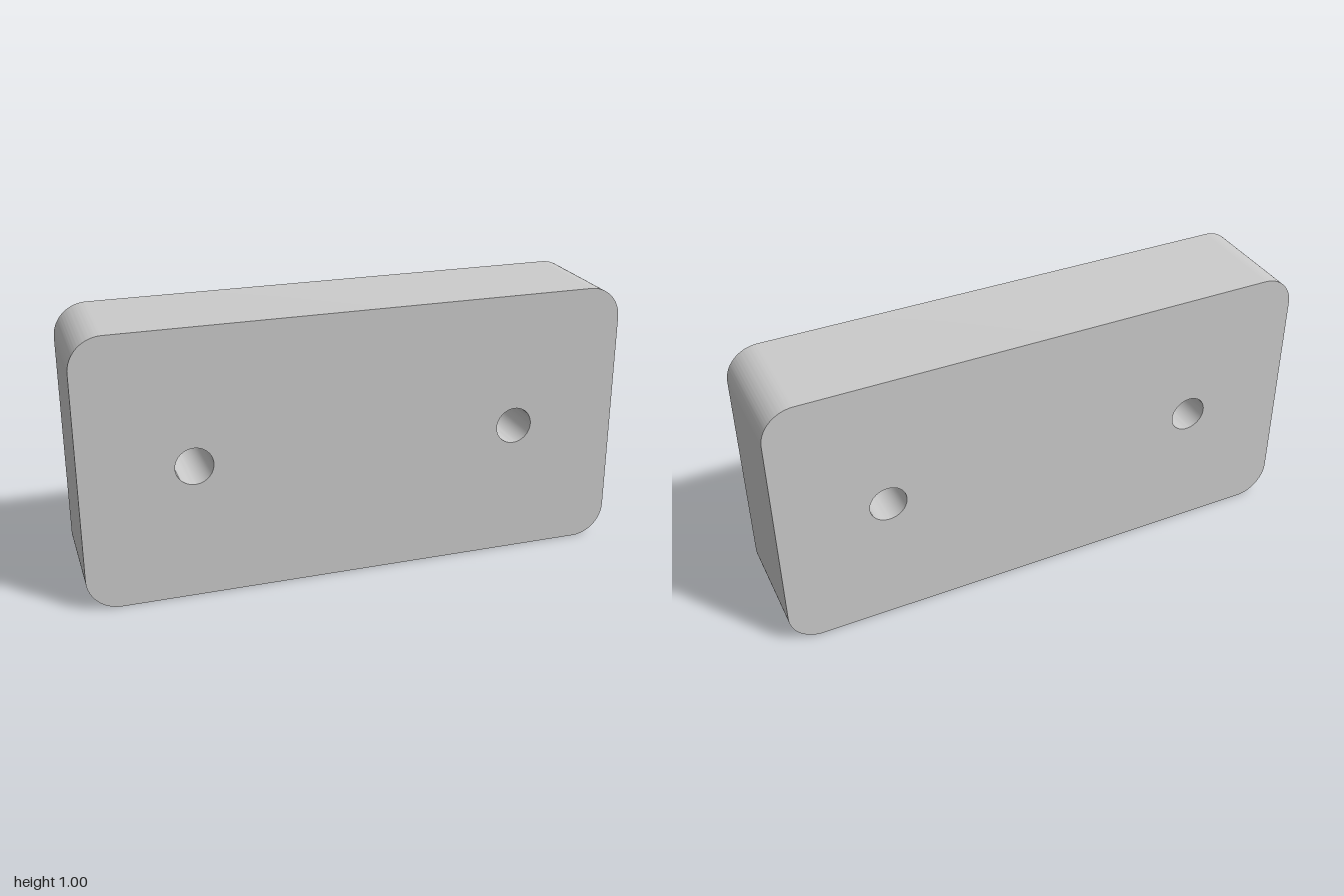
import * as THREE from 'three';
import { toCreasedNormals } from 'three/addons/utils/BufferGeometryUtils.js';

const WIDTH = 2, HEIGHT = 1, DEPTH = 0.4;
const CORNER = 0.12, HOLE_RADIUS = 0.068, HOLE_X = 0.6;

// Rounded rectangle standing on y = 0, centred on x = 0
function plateOutline() {
  const x = WIDTH / 2 - CORNER, low = CORNER, high = HEIGHT - CORNER;
  const shape = new THREE.Shape();
  const corners = [[x, low], [x, high], [-x, high], [-x, low]];
  corners.forEach(([cx, cy], i) => {
    const start = (i - 1) * Math.PI / 2;
    shape.absarc(cx, cy, CORNER, start, start + Math.PI / 2, false);
  });
  shape.closePath();
  return shape;
}

export function createModel() {
  const group = new THREE.Group();
  group.name = 'mountingBlock';

  // Two through holes, mirrored left and right
  const outline = plateOutline();
  for (const side of [-1, 1]) {
    const hole = new THREE.Path();
    hole.absarc(side * HOLE_X, HEIGHT / 2, HOLE_RADIUS, 0, Math.PI * 2, true);
    outline.holes.push(hole);
  }

  // Solid block with smooth rounded corners and sharp front and back rims
  const geometry = new THREE.ExtrudeGeometry(outline, {
    depth: DEPTH, bevelEnabled: false, curveSegments: 24,
  });
  geometry.translate(0, 0, -DEPTH / 2);

  const block = new THREE.Mesh(
    toCreasedNormals(geometry, Math.PI / 6),
    new THREE.MeshStandardMaterial({ color: 0xcccccc }),
  );
  block.name = 'drilledBlock';
  group.add(block);
  return group;
}
